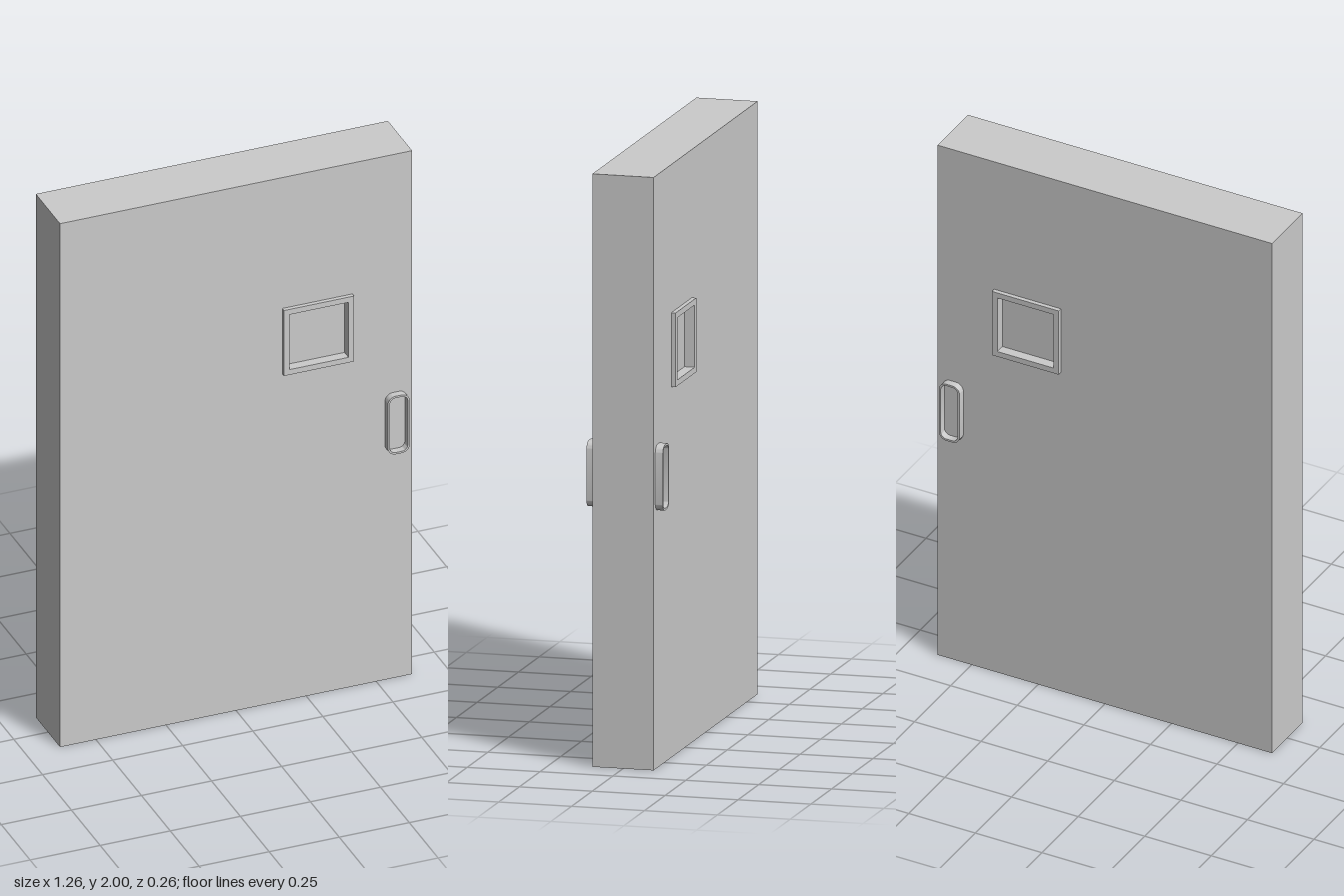
import * as THREE from 'three';
import { toCreasedNormals } from 'three/addons/utils/BufferGeometryUtils.js';

const material = new THREE.MeshStandardMaterial({ color: 0xcccccc });

// Rectangle outline centred on (x, y), with optional rounded corners
function outline(Type, x, y, w, h, r = 0) {
  const path = new Type();
  const l = x - w / 2, b = y - h / 2, R = x + w / 2, t = y + h / 2;
  if (r === 0) {
    path.moveTo(l, b).lineTo(R, b).lineTo(R, t).lineTo(l, t).closePath();
    return path;
  }
  path.moveTo(l + r, b);
  path.absarc(R - r, b + r, r, -Math.PI / 2, 0);
  path.absarc(R - r, t - r, r, 0, Math.PI / 2);
  path.absarc(l + r, t - r, r, Math.PI / 2, Math.PI);
  path.absarc(l + r, b + r, r, Math.PI, Math.PI * 1.5);
  return path;
}

// Plate with one opening, running from z0 to z1
function plate(name, outer, inner, z0, z1) {
  const shape = outline(THREE.Shape, ...outer);
  shape.holes.push(outline(THREE.Path, ...inner));
  const geometry = new THREE.ExtrudeGeometry(shape, {
    depth: z1 - z0, bevelEnabled: false, curveSegments: 6,
  });
  geometry.translate(0, 0, z0);
  const mesh = new THREE.Mesh(toCreasedNormals(geometry, 0.6), material);
  mesh.name = name;
  return mesh;
}

export function createModel() {
  const door = new THREE.Group();
  door.name = 'door';
  const face = 0.105;
  const opening = [0.29, 1.375, 0.21, 0.21];

  // Thick slab with a square window opening
  door.add(plate('slab', [0, 1, 1.256, 2], opening, -face, face));

  // Recessed window pane
  const pane = new THREE.Mesh(new THREE.BoxGeometry(0.21, 0.21, 0.17), material);
  pane.name = 'windowPane';
  pane.position.set(0.29, 1.375, 0);
  door.add(pane);

  // Window frame and hollow rounded handle on each face
  for (const [side, s] of [['front', 1], ['back', -1]]) {
    const span = (depth) => (s > 0 ? [face, depth] : [-depth, -face]);
    door.add(plate(side + 'WindowFrame', [0.29, 1.375, 0.25, 0.25], opening, ...span(0.12)));
    door.add(plate(side + 'Handle', [0.57, 0.98, 0.078, 0.222, 0.028],
      [0.57, 0.98, 0.064, 0.208, 0.021], ...span(0.131)));
  }
  return door;
}
